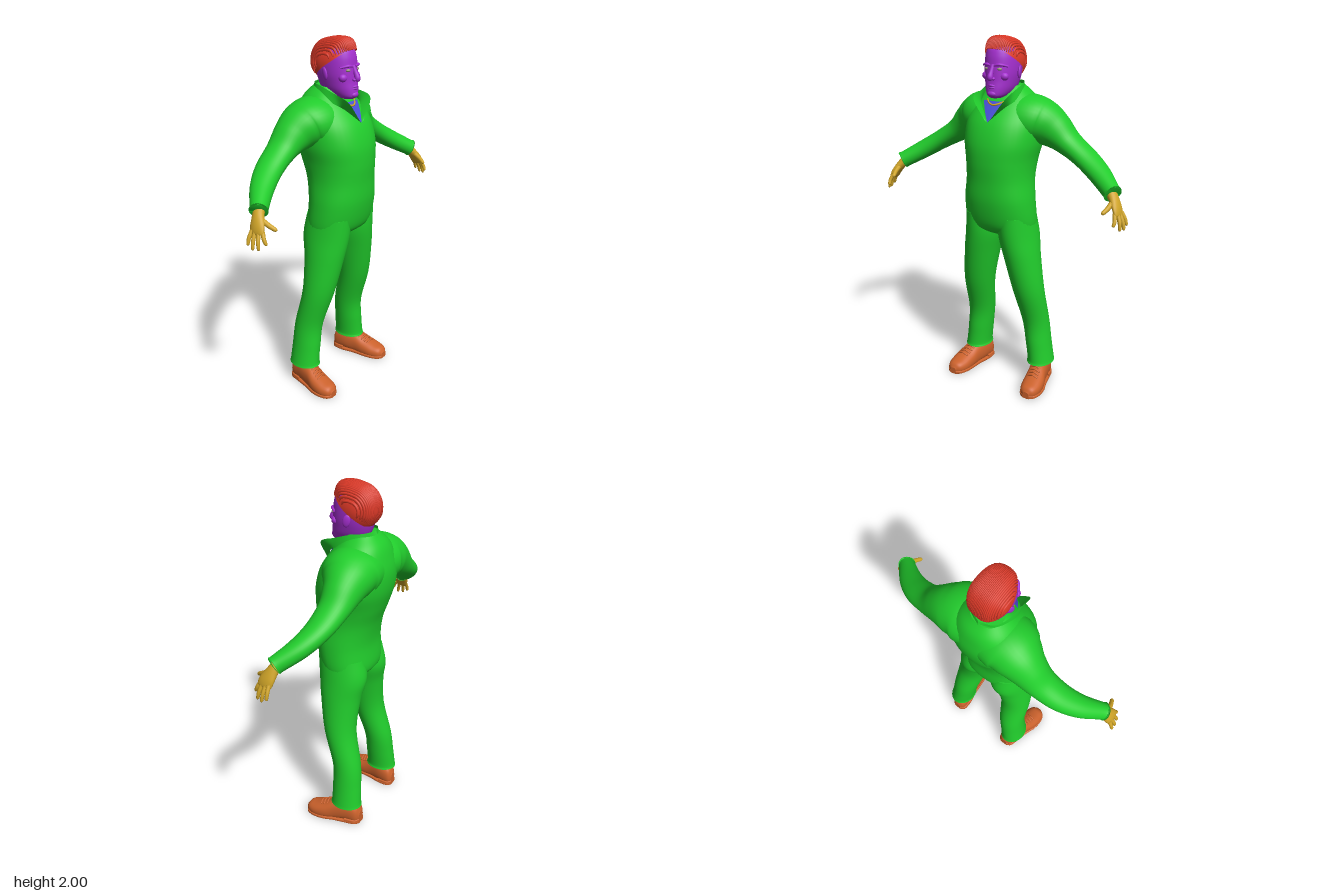
import * as THREE from 'three';

const V = (x, y, z) => new THREE.Vector3(x, y, z);
const UP = V(0, 1, 0), FRONT = V(0, 0, 1), SIDE = V(1, 0, 0);
const paint = (color, side = THREE.FrontSide) => new THREE.MeshStandardMaterial({ color, side });
const green = paint(0x21cc2c), greenThin = paint(0x21cc2c, THREE.DoubleSide);
const skin = paint(0xa52fd0), hairRed = paint(0xe03a28, THREE.DoubleSide);
const gold = paint(0xcfa428), blue = paint(0x4a50d8, THREE.DoubleSide);
const leather = paint(0xcc622c), eyeGrey = paint(0x9a9a80);

function mesh(name, geometry, material) {
  const m = new THREE.Mesh(geometry, material);
  m.name = name;
  return m;
}

// Smooth closed sweep through rows [x, y, z, radius along hint, radius across];
// n is the superellipse exponent, dir fixes the plane of the sections.
function loft(rows, hint, { seg = 24, steps = 6, n = 2, dir = null } = {}) {
  const path = new THREE.CatmullRomCurve3(rows.map(r => V(r[0], r[1], r[2])), false, 'catmullrom');
  const size = new THREE.CatmullRomCurve3(rows.map(r => V(r[3], r[4], 0)), false, 'catmullrom');
  const count = (rows.length - 1) * steps;
  const rings = [[0, 0], [0, 1]];
  for (let i = 0; i <= count; i++) rings.push([i / count, 1]);
  rings.push([1, 1], [1, 0]);
  const pos = [], idx = [];
  const bend = c => Math.sign(c) * Math.abs(c) ** (2 / n);
  rings.forEach(([t, k], j) => {
    const c = path.getPoint(t), s = size.getPoint(t);
    const T = dir || path.getTangent(t);
    const B = hint.clone().cross(T).normalize(), A = T.clone().cross(B);
    for (let i = 0; i < seg; i++) {
      const a = i / seg * Math.PI * 2;
      const p = c.clone().addScaledVector(A, k * s.x * bend(Math.cos(a))).addScaledVector(B, k * s.y * bend(Math.sin(a)));
      pos.push(p.x, p.y, p.z);
      if (j < rings.length - 1) {
        const p0 = j * seg + i, p1 = j * seg + (i + 1) % seg;
        idx.push(p0, p0 + seg, p1, p1, p0 + seg, p1 + seg);
      }
    }
  });
  const g = new THREE.BufferGeometry();
  g.setAttribute('position', new THREE.Float32BufferAttribute(pos, 3));
  g.setIndex(idx);
  g.computeVertexNormals();
  return g;
}

// Upright sweep from rows [y, half width, front z, back z, centre x]
const upright = (rows, opt) => loft(
  rows.map(([y, rx, f, b, x = 0]) => [x, y, (f + b) / 2, (f - b) / 2, rx]), FRONT, { dir: UP, seg: 40, ...opt });

// Open sheet given by fn(u, v)
function sheet(fn, nu, nv) {
  const g = new THREE.PlaneGeometry(1, 1, nu, nv), p = g.attributes.position, uv = g.attributes.uv;
  for (let i = 0; i < p.count; i++) p.setXYZ(i, ...fn(uv.getX(i), uv.getY(i)).toArray());
  g.computeVertexNormals();
  return g;
}

function ball(name, material, x, y, z, rx, ry, rz) {
  const m = mesh(name, new THREE.SphereGeometry(1, 20, 14), material);
  m.position.set(x, y, z);
  m.scale.set(rx, ry, rz);
  return m;
}

function buildSuit() {
  const g = new THREE.Group();
  g.name = 'overalls';
  const torso = mesh('torso', upright([
    [0.91, 0.1, 0.05, -0.04], [0.95, 0.185, 0.13, -0.1], [1.0, 0.205, 0.175, -0.12],
    [1.13, 0.2, 0.205, -0.115], [1.25, 0.187, 0.21, -0.135], [1.35, 0.192, 0.215, -0.17],
    [1.45, 0.21, 0.208, -0.2], [1.55, 0.21, 0.175, -0.207], [1.63, 0.185, 0.12, -0.19],
    [1.69, 0.14, 0.07, -0.165], [1.74, 0.085, 0.03, -0.12]], { n: 2.2 }), green);
  // Shoulders and both sleeves run as one sweep from cuff to cuff
  const half = [
    [0.13, 1.565, -0.05, 0.132, 0.155], [0.2, 1.548, -0.065, 0.122, 0.132], [0.27, 1.51, -0.075, 0.1, 0.102],
    [0.355, 1.45, -0.075, 0.068, 0.083], [0.46, 1.387, -0.058, 0.056, 0.074],
    [0.56, 1.325, -0.015, 0.052, 0.062], [0.655, 1.265, 0.052, 0.047, 0.046], [0.668, 1.257, 0.061, 0.05, 0.048]];
  const rows = [...half.map(([x, ...r]) => [-x, ...r]).reverse(), [0, 1.56, -0.045, 0.13, 0.15], ...half];
  const sleeves = mesh('shouldersAndSleeves', loft(rows, UP, { seg: 36 }), green);
  g.add(torso, sleeves);

  // Shirt showing in the open neck, laid on the chest
  const ray = new THREE.Raycaster();
  g.add(mesh('shirt', sheet((u, v) => {
    const x = (u - 0.5) * 0.15 * v, y = 1.565 + 0.1 * v;
    ray.set(V(x, y, 1), V(0, 0, -1));
    const hit = ray.intersectObjects([torso, sleeves])[0];
    return V(x, y, (hit ? hit.point.z : 0.08) + 0.005);
  }, 12, 12), blue));

  for (const s of [1, -1]) {
    g.add(mesh('trouserLeg', upright([
      [0.125, 0.077, 0.035, -0.155, 0.217], [0.15, 0.073, 0.03, -0.15, 0.216], [0.25, 0.073, 0.03, -0.143, 0.203],
      [0.39, 0.077, 0.037, -0.13, 0.187], [0.6, 0.09, 0.1, -0.085, 0.165], [0.8, 0.1, 0.14, -0.095, 0.132],
      [0.93, 0.106, 0.16, -0.12, 0.108], [1.05, 0.098, 0.17, -0.1, 0.1]].map(([y, r, f, b, x]) => [y, r, f, b, x * s])), green));
    // Standing collar that opens into a pointed lapel
    const curve = pts => new THREE.CatmullRomCurve3(pts.map(([x, y, z]) => V(x * s, y, z)), false, 'centripetal');
    const low = curve([[0, 1.7, -0.14], [0.085, 1.7, -0.08], [0.11, 1.69, 0], [0.095, 1.66, 0.08], [0.072, 1.64, 0.11], [0, 1.565, 0.17]]);
    const high = curve([[0, 1.757, -0.115], [0.07, 1.757, -0.085], [0.098, 1.745, -0.01], [0.095, 1.715, 0.075], [0.095, 1.685, 0.155], [0.015, 1.575, 0.174]]);
    g.add(mesh('collar', sheet((u, v) => low.getPoint(u).lerp(high.getPoint(u), v), 40, 3), greenThin));
  }
  return g;
}

function buildHead() {
  const g = new THREE.Group();
  g.name = 'head';
  g.add(mesh('neck', upright([[1.58, 0.065, 0.07, -0.08], [1.66, 0.062, 0.08, -0.075], [1.76, 0.062, 0.07, -0.08]]), skin));
  g.add(mesh('skull', upright([
    [1.683, 0.028, 0.115, 0.03], [1.697, 0.05, 0.134, -0.02], [1.73, 0.07, 0.134, -0.075], [1.77, 0.081, 0.128, -0.095],
    [1.81, 0.088, 0.125, -0.105], [1.86, 0.09, 0.121, -0.115], [1.9, 0.087, 0.115, -0.115],
    [1.935, 0.077, 0.1, -0.105], [1.96, 0.05, 0.065, -0.075]], { n: 2.15 }), skin));
  g.add(mesh('nose', loft([
    [0, 1.855, 0.115, 0.008, 0.011], [0, 1.82, 0.129, 0.012, 0.011], [0, 1.792, 0.142, 0.016, 0.015],
    [0, 1.78, 0.136, 0.01, 0.012]], FRONT, { seg: 14 }), skin));
  for (const [name, y, z] of [['upperLip', 1.75, 0.134], ['lowerLip', 1.738, 0.133]]) {
    g.add(mesh(name, loft([[-0.03, 1.743, 0.118, 0.002, 0.002], [0, y, z, 0.007, 0.007], [0.03, 1.743, 0.118, 0.002, 0.002]], UP, { seg: 10 }), skin));
  }
  g.add(ball('chin', skin, 0, 1.707, 0.12, 0.028, 0.018, 0.022));
  for (const s of [1, -1]) {
    g.add(ball('eye', eyeGrey, 0.037 * s, 1.833, 0.109, 0.014, 0.008, 0.012));
    g.add(ball('nostril', skin, 0.014 * s, 1.785, 0.131, 0.009, 0.008, 0.011));
    g.add(ball('cheek', skin, 0.052 * s, 1.795, 0.09, 0.026, 0.022, 0.022));
    g.add(mesh('brow', loft([[0.01 * s, 1.85, 0.119, 0.006, 0.007], [0.042 * s, 1.855, 0.113, 0.008, 0.01],
      [0.073 * s, 1.846, 0.085, 0.005, 0.006]], UP, { seg: 12 }), skin));
    const ear = ball('ear', skin, 0.093 * s, 1.813, 0.003, 0.009, 0.033, 0.02);
    ear.rotation.set(-0.2, 0.35 * s, 0);
    g.add(ear);
  }
  return g;
}

function buildHair() {
  const g = new THREE.Group();
  g.name = 'hair';
  // Cap with a hairline high in front, lower at the temples and nape
  g.add(mesh('hairCap', sheet((u, v) => {
    const a = u * Math.PI * 2, c = -Math.cos(a);
    const t = (1 - v) * (1.8 - (c > 0 ? 0.85 : 0.7) * c);
    return V(-0.099 * Math.sin(t) * Math.sin(a), 1.865 + 0.118 * Math.cos(t), -0.02 + (c > 0 ? 0.15 : 0.11) * Math.sin(t) * c);
  }, 48, 20), hairRed));
  // Locks combed back from the forehead
  const count = 27;
  for (let i = 0; i < count; i++) {
    const u = (i / (count - 1) * 2 - 1) * 0.93, w = Math.sqrt(1 - u * u), jitter = 0.004 * Math.sin(i * 12.9);
    const rows = [];
    for (let k = 0; k <= 9; k++) {
      const a = 0.56 + k / 9 * 3.25;
      const lift = (0.03 * Math.exp(-(((a - 0.95) / 0.4) ** 2)) + jitter) * w;
      const r = k === 0 || k === 9 ? 0.003 : 0.0075;
      rows.push([u * 0.098, 1.865 + (0.118 * w + lift) * Math.sin(a),
        -0.02 + ((a < Math.PI / 2 ? 0.148 : 0.11) * w + lift) * Math.cos(a), r * 0.8, r]);
    }
    g.add(mesh('lock', loft(rows, SIDE, { seg: 6, steps: 3 }), hairRed));
  }
  return g;
}

function buildHand(s) {
  const g = new THREE.Group();
  g.name = s > 0 ? 'leftHand' : 'rightHand';
  const flip = rows => rows.map(([x, ...r]) => [x * s, ...r]);
  g.add(mesh('palm', loft(flip([
    [0.645, 1.27, 0.045, 0.03, 0.028], [0.675, 1.235, 0.064, 0.032, 0.025], [0.7, 1.198, 0.08, 0.041, 0.02],
    [0.714, 1.168, 0.09, 0.041, 0.015], [0.718, 1.155, 0.093, 0.033, 0.009]]), FRONT, { seg: 20 }), gold));
  const fingers = {
    indexFinger: [[0.706, 1.175, 0.118], [0.715, 1.143, 0.134], [0.714, 1.115, 0.148]],
    middleFinger: [[0.715, 1.17, 0.101], [0.733, 1.13, 0.112], [0.739, 1.09, 0.12]],
    ringFinger: [[0.717, 1.17, 0.08], [0.738, 1.13, 0.085], [0.749, 1.088, 0.09]],
    littleFinger: [[0.717, 1.175, 0.062], [0.738, 1.14, 0.059], [0.75, 1.105, 0.059]],
    thumb: [[0.68, 1.225, 0.08], [0.674, 1.2, 0.128], [0.66, 1.178, 0.168]] };
  for (const [name, [a, b, c]] of Object.entries(fingers)) {
    const k = name === 'thumb' ? 1.25 : 1;
    const tip = c.map((q, i) => q + (b[i] - q) * 0.2);
    g.add(mesh(name, loft(flip([[...a, 0.011 * k, 0.011 * k], [...b, 0.01 * k, 0.01 * k],
      [...tip, 0.008 * k, 0.008 * k], [...c, 0.003, 0.003]]), SIDE, { seg: 12 }), gold));
  }
  return g;
}

function buildShoe(s) {
  const g = new THREE.Group();
  g.name = s > 0 ? 'leftShoe' : 'rightShoe';
  const rows = [
    [0.205, 0.05, -0.153, 0.03, 0.022], [0.207, 0.06, -0.13, 0.066, 0.046], [0.214, 0.072, -0.07, 0.075, 0.054],
    [0.23, 0.06, 0, 0.072, 0.055], [0.243, 0.042, 0.06, 0.058, 0.062], [0.25, 0.032, 0.12, 0.046, 0.06],
    [0.253, 0.03, 0.165, 0.034, 0.044], [0.254, 0.026, 0.185, 0.014, 0.018]].map(([x, ...r]) => [x * s, ...r]);
  const upper = loft(rows, UP, { n: 2.3, dir: FRONT, seg: 28 });
  const p = upper.attributes.position;
  for (let i = 0; i < p.count; i++) p.setY(i, Math.max(p.getY(i), 0.012));
  upper.computeVertexNormals();
  g.add(mesh('upper', upper, leather));
  g.add(mesh('sole', loft(rows.map(([x, , z, , r]) => [x, 0.01, z, 0.01, r + 0.004]), UP, { n: 5, dir: FRONT, seg: 28 }), leather));
  g.add(mesh('heel', loft(rows.slice(0, 3).map(([x, , z, , r]) => [x, 0.016, z, 0.016, r + 0.003]), UP, { n: 5, dir: FRONT, seg: 28 }), leather));
  for (let i = 0; i < 4; i++) {
    const z = 0.025 + i * 0.02, y = 0.121 - i * 0.008, x = (0.234 + i * 0.004) * s;
    g.add(mesh('lace', loft([[x - 0.032, y - 0.012, z, 0.004, 0.004], [x, y + 0.002, z + 0.004, 0.005, 0.005],
      [x + 0.032, y - 0.012, z, 0.004, 0.004]], UP, { seg: 8 }), leather));
  }
  return g;
}

export function createModel() {
  const model = new THREE.Group();
  model.name = 'figure';
  model.add(buildSuit(), buildHead(), buildHair());
  const chain = [[0, 1.648, 0.115], [0.055, 1.668, 0.078], [0.07, 1.71, -0.01], [0, 1.735, -0.08], [-0.07, 1.71, -0.01], [-0.055, 1.668, 0.078]];
  model.add(mesh('necklace', new THREE.TubeGeometry(
    new THREE.CatmullRomCurve3(chain.map(c => V(...c)), true), 60, 0.005, 8, true), gold));
  for (const s of [1, -1]) model.add(buildHand(s), buildShoe(s));
  return model;
}
